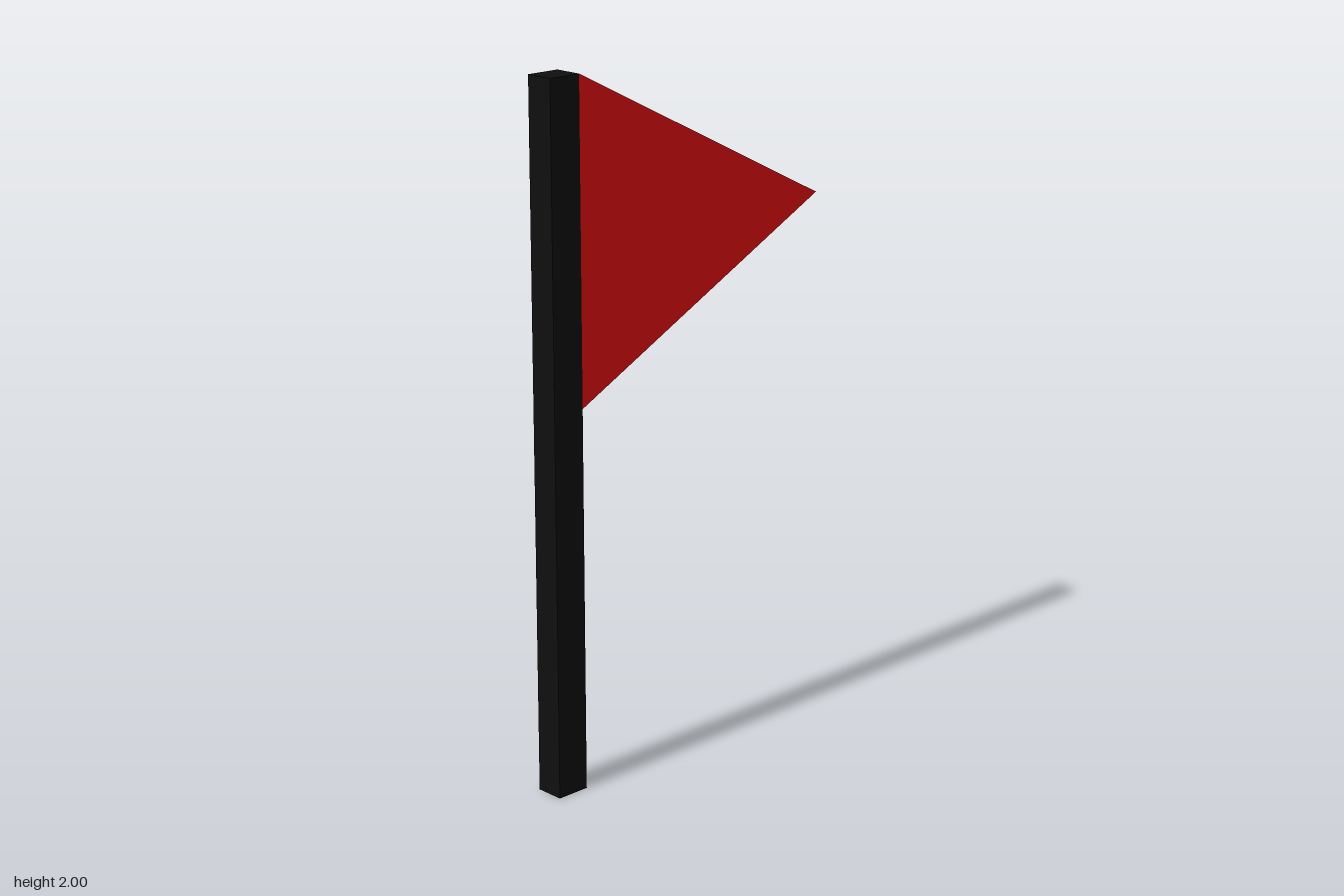
import * as THREE from 'three';

const THICKNESS = 0.084;

export function createModel() {
  const model = new THREE.Group();
  model.name = 'pennantFlag';

  const add = (name, geometry, color) => {
    const material = new THREE.MeshStandardMaterial({ color, flatShading: true });
    const mesh = new THREE.Mesh(geometry, material);
    mesh.name = name;
    model.add(mesh);
  };

  // Square pole at the front
  add('pole', new THREE.BoxGeometry(THICKNESS, 2, 0.1).translate(0, 1, 0.45), 0x0f0f0f);

  // Triangular pennant pointing to the back, as thick as the pole
  const triangle = new THREE.Shape([
    new THREE.Vector2(-0.4, 1.1),
    new THREE.Vector2(0.5, 1.55),
    new THREE.Vector2(-0.4, 2),
  ]);
  const pennant = new THREE.ExtrudeGeometry(triangle, { depth: THICKNESS, bevelEnabled: false });
  pennant.translate(0, 0, -THICKNESS / 2).rotateY(Math.PI / 2);
  add('pennant', pennant, 0xf01010);

  return model;
}
